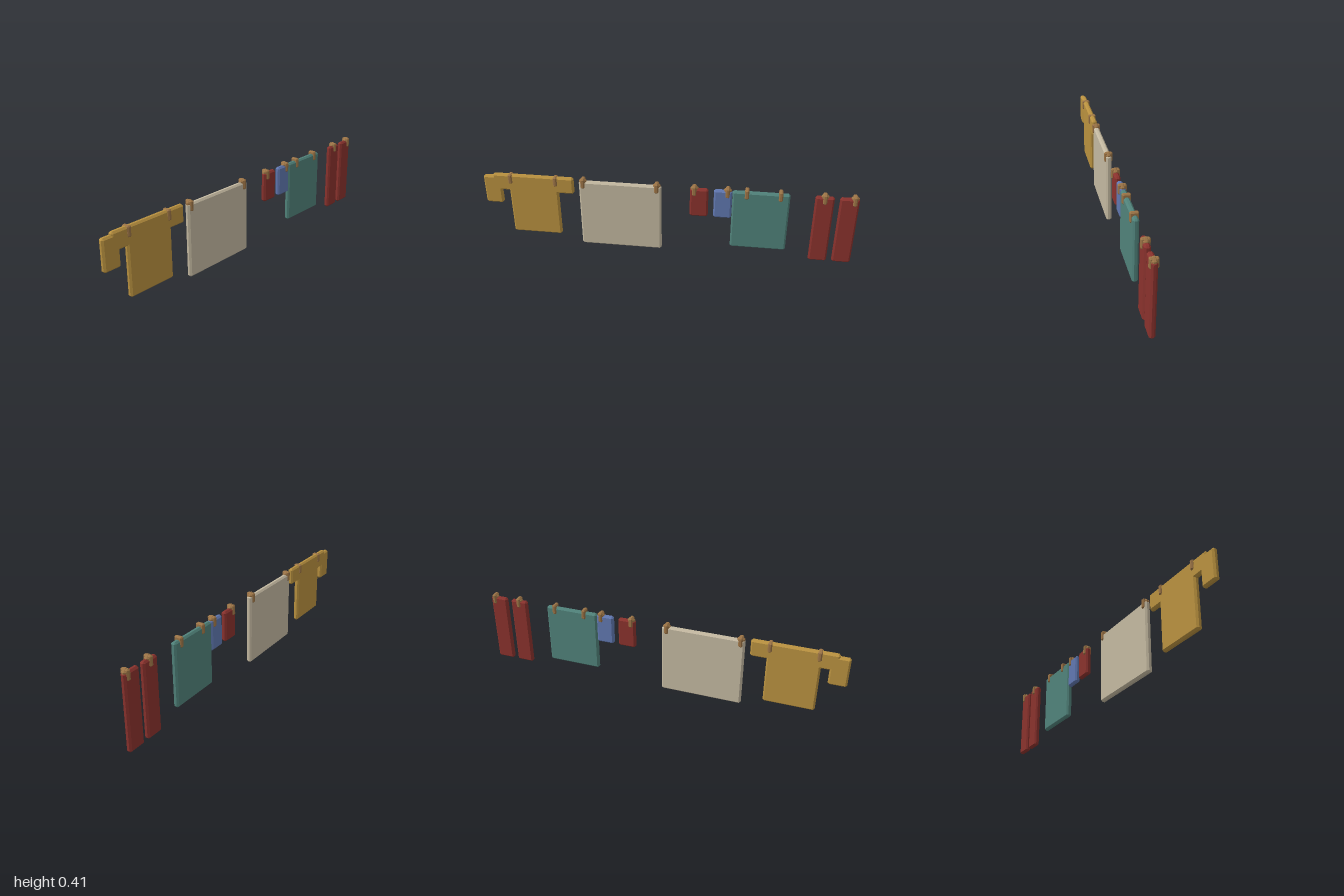
import * as THREE from 'three';
import { ConvexGeometry } from 'three/addons/geometries/ConvexGeometry.js';

const mat = (name, color) => {
  const m = new THREE.MeshStandardMaterial({ color });
  m.name = name;
  return m;
};

// Box with every edge and corner cut off by c, given by its extents
function chamferBox(x0, x1, y0, y1, depth, c) {
  const a = (x1 - x0) / 2, b = (y1 - y0) / 2, d = depth / 2;
  const pts = [];
  for (const sx of [-1, 1]) for (const sy of [-1, 1]) for (const sz of [-1, 1]) {
    pts.push(
      new THREE.Vector3(sx * a, sy * (b - c), sz * (d - c)),
      new THREE.Vector3(sx * (a - c), sy * b, sz * (d - c)),
      new THREE.Vector3(sx * (a - c), sy * (b - c), sz * d));
  }
  const g = new ConvexGeometry(pts);
  g.translate((x0 + x1) / 2, (y0 + y1) / 2, 0);
  return g;
}

export function createModel() {
  const group = new THREE.Group();
  group.name = 'hangingLaundry';
  const ochre = mat('ochreCloth', 0xb9913f);
  const linen = mat('linenCloth', 0xc3b8a0);
  const red = mat('redCloth', 0x8a322d);
  const blue = mat('blueCloth', 0x6077b0);
  const teal = mat('tealCloth', 0x50827a);
  const wood = mat('pegWood', 0x9c7446);

  const add = (name, geometry, material) => {
    const m = new THREE.Mesh(geometry, material);
    m.name = name;
    group.add(m);
  };

  // Cloth panels: name, left, right, bottom, top, material
  const top = 0.392;
  const panels = [
    ['shirtBody', -0.861, -0.589, 0.05, 0.402, ochre],
    ['shirtShoulders', -0.947, -0.503, 0.31, 0.405, ochre],
    ['shirtSleeve', -1, -0.904, 0.227, top, ochre],
    ['sheet', -0.473, -0.028, 0, top, linen],
    ['redSock', 0.124, 0.221, 0.227, top, red],
    ['blueSock', 0.25, 0.346, 0.227, top, blue],
    ['towel', 0.347, 0.645, 0.05, top, teal],
    ['stockingA', 0.772, 0.869, 0, top, red],
    ['stockingB', 0.897, 0.995, 0, top, red],
  ];
  for (const [name, x0, x1, y0, y1, m] of panels) {
    add(name, chamferBox(x0, x1, y0, y1, 0.03, 0.009), m);
  }

  // Pegs straddling the top edges; those near corners have a pointed cap
  const pegs = [
    [-0.85, false], [-0.602, false], [-0.451, true], [-0.053, true], [0.147, true],
    [0.322, true], [0.422, false], [0.597, false], [0.821, true], [0.972, true],
  ];
  for (const [x, capped] of pegs) {
    add('peg', chamferBox(x - 0.011, x + 0.011, 0.353, 0.408, 0.044, 0.006), wood);
    if (capped) add('pegCap', chamferBox(x - 0.02, x + 0.02, 0.37, 0.41, 0.04, 0.015), wood);
  }
  return group;
}
